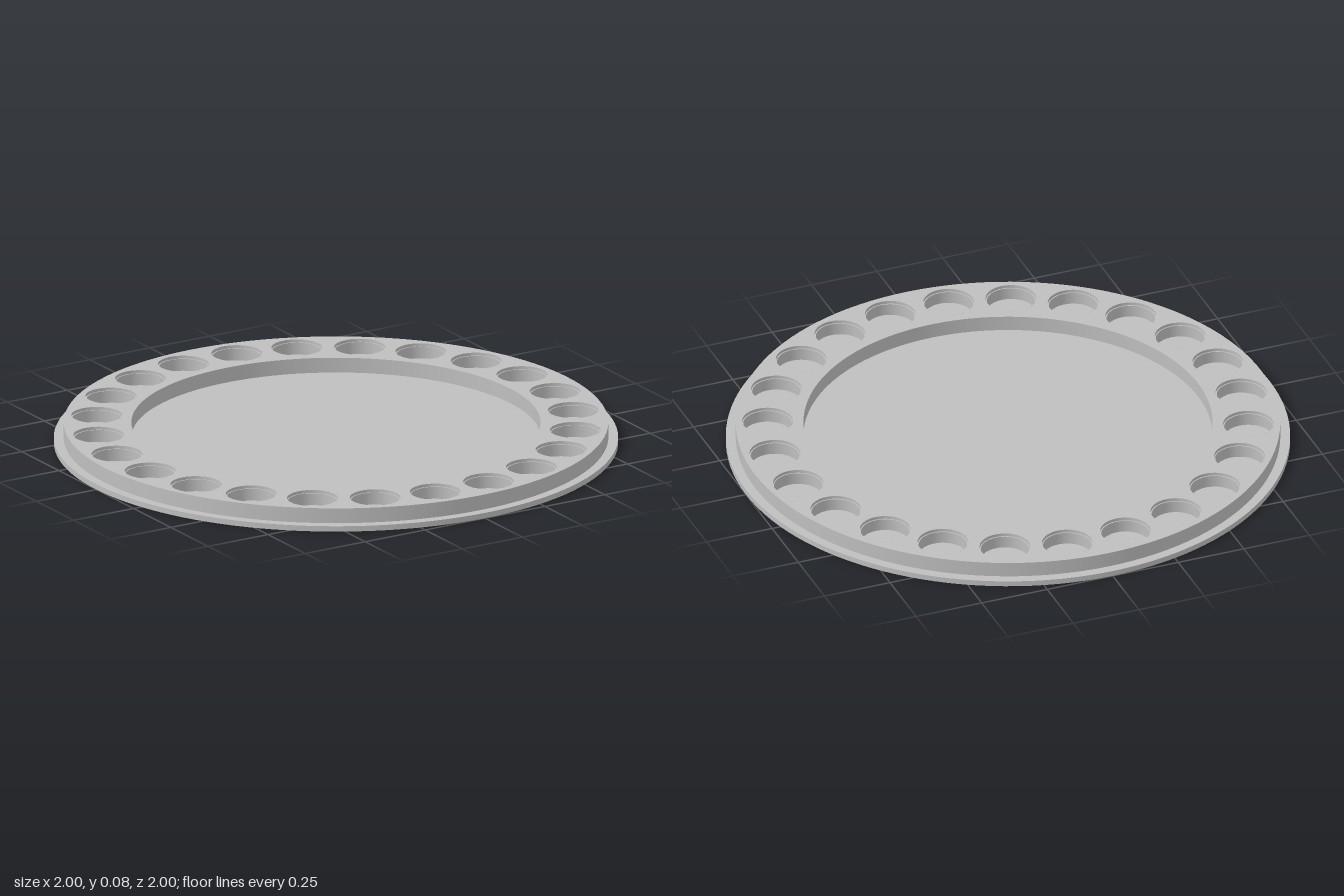
import * as THREE from 'three';

const BASE_TOP = 0.02, TOP = 0.075, LIP = 0.064;
const RIM_OUTER = 0.965, RIM_INNER = 0.725;
const HOLES = 24, HOLE_ORBIT = 0.852, HOLE_R = 0.09, BORE_R = 0.086;

export function createModel() {
  const group = new THREE.Group();
  const grey = new THREE.MeshStandardMaterial({ color: 0xbfbfbf, side: THREE.DoubleSide });
  grey.name = 'grey';

  const add = (name, geometry, x = 0, y = 0, z = 0) => {
    const mesh = new THREE.Mesh(geometry, grey);
    mesh.name = name;
    mesh.position.set(x, y, z);
    group.add(mesh);
  };
  // Open round wall between two heights
  const wall = (name, r, y0, y1, segments, x = 0, z = 0) =>
    add(name, new THREE.CylinderGeometry(r, r, y1 - y0, segments, 1, true), x, (y0 + y1) / 2, z);
  const circle = (path, x, y, r) => path.absarc(x, y, r, 0, Math.PI * 2);

  // Thin base disc, also the floor of the recess and the pockets
  add('baseDisc', new THREE.CylinderGeometry(1, 1, BASE_TOP, 128), 0, BASE_TOP / 2, 0);

  // Raised ring around a shallow round recess
  wall('ringOuterWall', RIM_OUTER, BASE_TOP, TOP, 128);
  wall('recessWall', RIM_INNER, BASE_TOP, TOP, 128);

  const face = circle(new THREE.Shape(), 0, 0, RIM_OUTER);
  face.holes.push(circle(new THREE.Path(), 0, 0, RIM_INNER));

  // Round pockets with a narrow lip just below the top
  for (let i = 0; i < HOLES; i++) {
    const a = ((i + 0.5) / HOLES) * Math.PI * 2;
    const x = Math.cos(a) * HOLE_ORBIT, z = Math.sin(a) * HOLE_ORBIT;
    face.holes.push(circle(new THREE.Path(), x, -z, HOLE_R));
    wall('pocketRim', HOLE_R, LIP, TOP, 48, x, z);
    wall('pocketWall', BORE_R, BASE_TOP, LIP, 48, x, z);
    add('pocketLip', new THREE.RingGeometry(BORE_R, HOLE_R, 48).rotateX(-Math.PI / 2), x, LIP, z);
  }
  add('ringTop', new THREE.ShapeGeometry(face, 64).rotateX(-Math.PI / 2), 0, TOP, 0);

  return group;
}
